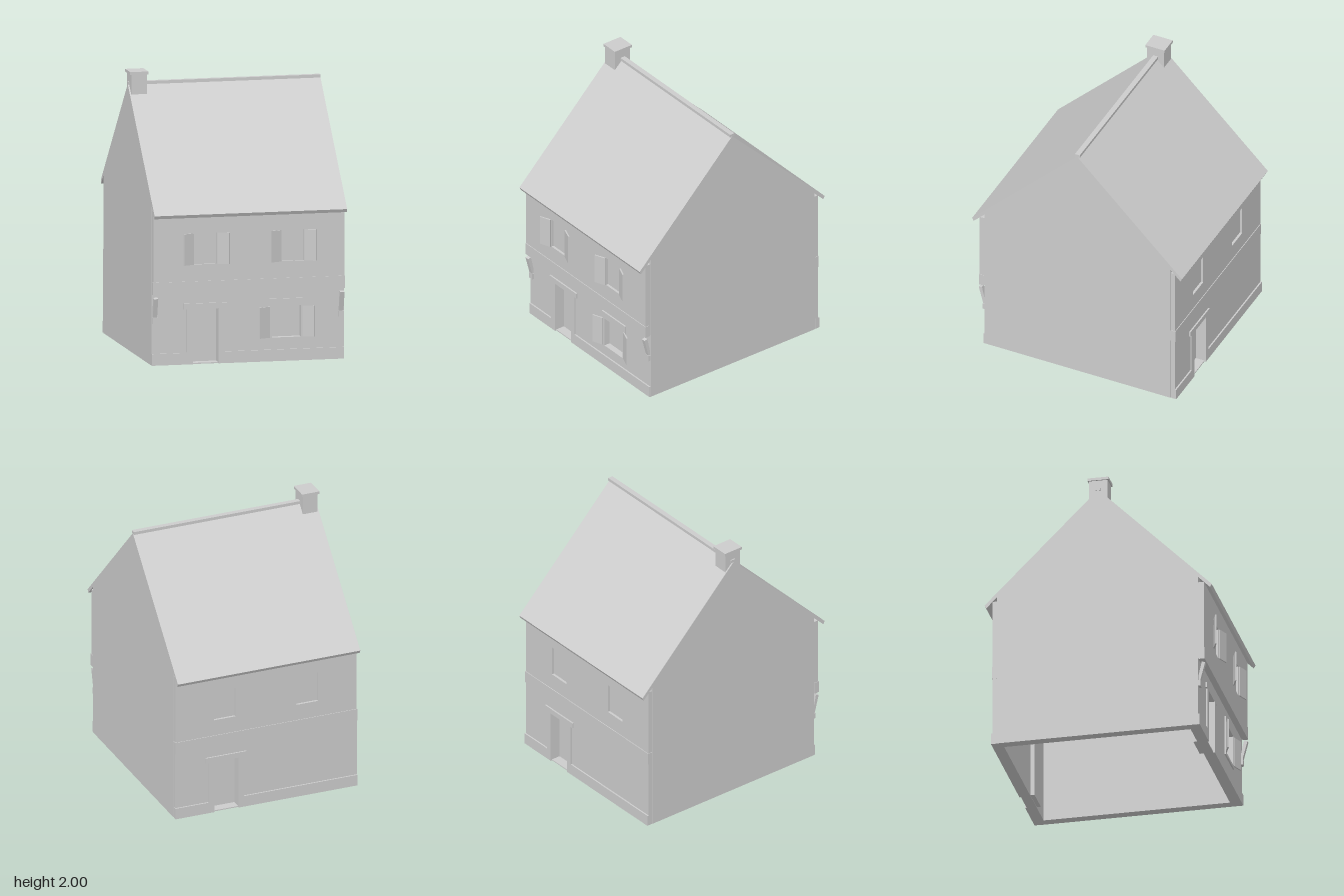
import * as THREE from 'three';

const plaster = new THREE.MeshStandardMaterial({ color: 0xcccccc });
plaster.name = 'plaster';

function add(parent, name, geometry) {
  const mesh = new THREE.Mesh(geometry, plaster);
  mesh.name = name;
  parent.add(mesh);
  return mesh;
}

// Box given by its limits on each axis
function box(parent, name, x0, x1, y0, y1, z0, z1) {
  const mesh = add(parent, name, new THREE.BoxGeometry(x1 - x0, y1 - y0, z1 - z0));
  mesh.position.set((x0 + x1) / 2, (y0 + y1) / 2, (z0 + z1) / 2);
  return mesh;
}

function polygon(points) {
  return new THREE.Shape(points.map(([x, y]) => new THREE.Vector2(x, y)));
}

const rect = ([x0, x1, y0, y1]) => [[x0, y0], [x1, y0], [x1, y1], [x0, y1]];

// Slab facing +z with rectangular openings
function slab(parent, name, outline, z0, z1, holes = []) {
  const shape = polygon(outline);
  for (const h of holes) shape.holes.push(polygon(rect(h)));
  const mesh = add(parent, name, new THREE.ExtrudeGeometry(shape, { depth: z1 - z0, bevelEnabled: false }));
  mesh.position.z = z0;
  return mesh;
}

// Profile of [z, y] points extruded along x
function alongX(parent, name, points, x0, x1) {
  const shape = polygon(points.map(([z, y]) => [-z, y]));
  const geometry = new THREE.ExtrudeGeometry(shape, { depth: x1 - x0, bevelEnabled: false });
  geometry.rotateY(Math.PI / 2);
  const mesh = add(parent, name, geometry);
  mesh.position.x = x0;
  return mesh;
}

// Pair of half-open shutters hinged beside a window
function shutters(parent, xl, xr, y0, y1, z) {
  const width = 0.085, angle = 0.38;
  for (const [hinge, side] of [[xl, -1], [xr, 1]]) {
    const pivot = new THREE.Group();
    pivot.name = 'shutter';
    pivot.position.set(hinge, 0, z);
    pivot.rotation.y = -side * angle;
    box(pivot, 'shutterPanel', Math.min(0, side * width), Math.max(0, side * width), y0, y1, -0.004, 0.006);
    parent.add(pivot);
  }
}

const DOOR = [-0.4, -0.215, 0.008, 0.395];
const LOWER_WINDOW = [0.175, 0.385, 0.17, 0.395];
const UPPER_WINDOWS = [[-0.4, -0.235, 0.72, 0.945], [0.235, 0.4, 0.72, 0.945]];

// One long side of the house, facing +z
function facade(name, lowerZ, upperZ, innerZ, isFront) {
  const group = new THREE.Group();
  group.name = name;
  const trimZ = lowerZ + 0.011;
  const lowerHoles = isFront ? [DOOR, LOWER_WINDOW] : [DOOR];
  slab(group, 'lowerWall', rect([-0.697, 0.697, 0, 0.52]), innerZ, lowerZ, lowerHoles);
  slab(group, 'upperWall', rect([-0.695, 0.695, 0.515, 1.11]), innerZ, upperZ, UPPER_WINDOWS);
  box(group, 'floorBand', -0.698, 0.698, 0.51, 0.6, upperZ - 0.035, upperZ + 0.005);

  // Plinth on both sides of the door
  box(group, 'plinth', -0.698, -0.44, 0, 0.083, lowerZ - 0.02, trimZ);
  box(group, 'plinth', -0.175, 0.698, 0, 0.083, lowerZ - 0.02, trimZ);

  // Door surround with wider lintel, and the recessed door
  slab(group, 'doorFrame', [
    [-0.445, 0], [-0.4, 0], [-0.4, 0.395], [-0.215, 0.395], [-0.215, 0], [-0.173, 0],
    [-0.173, 0.395], [-0.153, 0.395], [-0.153, 0.435], [-0.465, 0.435], [-0.465, 0.395], [-0.445, 0.395],
  ], lowerZ - 0.005, trimZ);
  box(group, 'door', -0.41, -0.205, 0.004, 0.405, lowerZ - 0.1, lowerZ - 0.068);

  // Upper window panes
  for (const [x0, x1, y0, y1] of UPPER_WINDOWS) {
    box(group, 'upperPane', x0, x1, y0, y1, upperZ - 0.03, upperZ - 0.018);
    if (isFront) shutters(group, x0 - 0.004, x1 + 0.004, y0, y1, upperZ + 0.005);
  }

  if (isFront) {
    // Framed ground-floor window
    slab(group, 'windowFrame', rect([0.143, 0.413, 0.15, 0.447]), lowerZ - 0.005, trimZ, [LOWER_WINDOW]);
    const [x0, x1, y0, y1] = LOWER_WINDOW;
    box(group, 'lowerPane', x0, x1, y0, y1, lowerZ - 0.05, lowerZ - 0.035);
    shutters(group, 0.157, 0.399, 0.17, 0.392, lowerZ + 0.009);

    // Slanted corner braces under the overhang
    for (const side of [-1, 1]) {
      const [a, b] = side < 0 ? [-0.693, -0.662] : [0.662, 0.693];
      alongX(group, 'cornerBrace', [[0.715, 0.33], [0.735, 0.33], [0.775, 0.483], [0.75, 0.49]], a, b);
      box(group, 'braceBlock', a - 0.004, b + 0.004, 0.302, 0.347, 0.71, 0.742);
    }
  }
  return group;
}

export function createModel() {
  const house = new THREE.Group();
  house.name = 'house';

  // Long walls
  house.add(facade('frontFacade', 0.725, 0.767, 0.655, true));
  const back = facade('backFacade', 0.767, 0.767, 0.697, false);
  back.rotation.y = Math.PI;
  house.add(back);

  // Gable walls
  const gable = [[0.725, 0], [0.725, 1.155], [0, 1.88], [-0.735, 1.145], [-0.735, 0]];
  for (const x of [-0.7, 0.63]) alongX(house, 'gableWall', gable, x, x + 0.07);

  // Roof slopes
  alongX(house, 'roof', [
    [0, 1.905], [0.824, 1.085], [0.812, 1.062], [0, 1.872], [-0.812, 1.062], [-0.824, 1.085],
  ], -0.7, 0.7);
  box(house, 'ridgeCap', -0.699, 0.699, 1.9, 1.922, -0.021, 0.017);

  // Chimney
  box(house, 'chimneyShaft', -0.69, -0.577, 1.82, 1.985, -0.067, 0.067);
  box(house, 'chimneyCap', -0.7, -0.567, 1.98, 2, -0.077, 0.075);

  return house;
}
